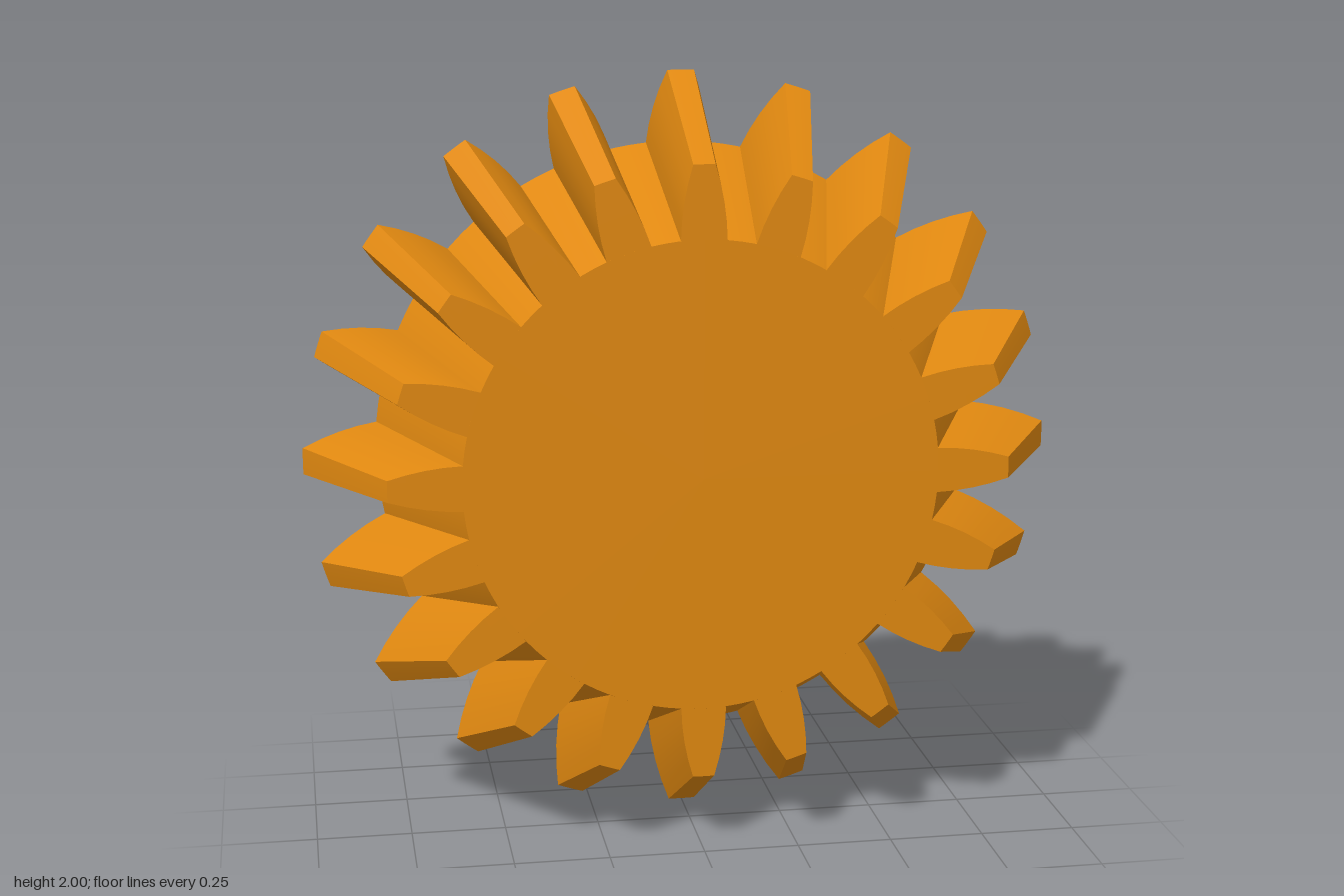
import * as THREE from 'three';
import { toCreasedNormals } from 'three/addons/utils/BufferGeometryUtils.js';

const TEETH = 20;
const HALF = 0.23;        // half the thickness of the gear
const ROOT_FRONT = 0.612; // root cone radius at the front
const ROOT_BACK = 0.807;  // root cone radius at the back
const TIP_FRONT = 0.7985;
const BACK_SLOPE = 2.03;  // radius gained per unit of z on the back cone

// Half widths of a tooth on the front face, from root to tip
const PROFILE = [0.059, 0.0565, 0.0505, 0.041, 0.028];
const COLUMNS = 4;

// Distance from the front face to the apex shared by all cones
const APEX = (2 * HALF) / (ROOT_BACK / ROOT_FRONT - 1);

// One straight bevel tooth pointing up, tapering towards the apex
function toothGeometry() {
  const levels = PROFILE.length - 1;
  const point = (i, j, back) => {
    const r = ROOT_FRONT + (TIP_FRONT - ROOT_FRONT) * i / levels;
    const a = Math.atan(PROFILE[i] / r) * (2 * j / COLUMNS - 1);
    // stretch the front point along its ray until it meets the back cone
    const s = back
      ? (ROOT_BACK + BACK_SLOPE * (APEX + 2 * HALF)) / (r + BACK_SLOPE * APEX)
      : 1;
    return [r * s * Math.sin(a), r * s * Math.cos(a), HALF + APEX * (1 - s)];
  };
  const pos = [];
  const quad = (a, b, c, d) => pos.push(...a, ...b, ...c, ...a, ...c, ...d);
  const F = (i, j) => point(i, j, false);
  const B = (i, j) => point(i, j, true);

  for (let i = 0; i < levels; i++) {
    // front and back faces
    for (let j = 0; j < COLUMNS; j++) {
      quad(F(i, j), F(i, j + 1), F(i + 1, j + 1), F(i + 1, j));
      quad(B(i, j + 1), B(i, j), B(i + 1, j), B(i + 1, j + 1));
    }
    // curved flanks
    quad(F(i, COLUMNS), B(i, COLUMNS), B(i + 1, COLUMNS), F(i + 1, COLUMNS));
    quad(B(i, 0), F(i, 0), F(i + 1, 0), B(i + 1, 0));
  }
  // tip land
  for (let j = 0; j < COLUMNS; j++) {
    quad(F(levels, j), F(levels, j + 1), B(levels, j + 1), B(levels, j));
  }
  const geometry = new THREE.BufferGeometry();
  geometry.setAttribute('position', new THREE.Float32BufferAttribute(pos, 3));
  return toCreasedNormals(geometry, 0.5);
}

export function createModel() {
  const group = new THREE.Group();
  group.name = 'bevelGear';
  const bronze = new THREE.MeshStandardMaterial({ color: 0xe08810 });
  bronze.name = 'bronze orange';

  // Solid root cone
  const bodyGeometry = new THREE.CylinderGeometry(ROOT_FRONT, ROOT_BACK, 2 * HALF, 120);
  bodyGeometry.rotateX(Math.PI / 2);
  const body = new THREE.Mesh(bodyGeometry, bronze);
  body.name = 'gearBody';
  body.position.y = 1;
  group.add(body);

  // Ring of teeth
  const teeth = new THREE.Group();
  teeth.name = 'teeth';
  teeth.position.y = 1;
  const geometry = toothGeometry();
  for (let n = 0; n < TEETH; n++) {
    const tooth = new THREE.Mesh(geometry, bronze);
    tooth.name = 'tooth';
    tooth.rotation.z = (n / TEETH) * Math.PI * 2;
    teeth.add(tooth);
  }
  group.add(teeth);
  return group;
}
